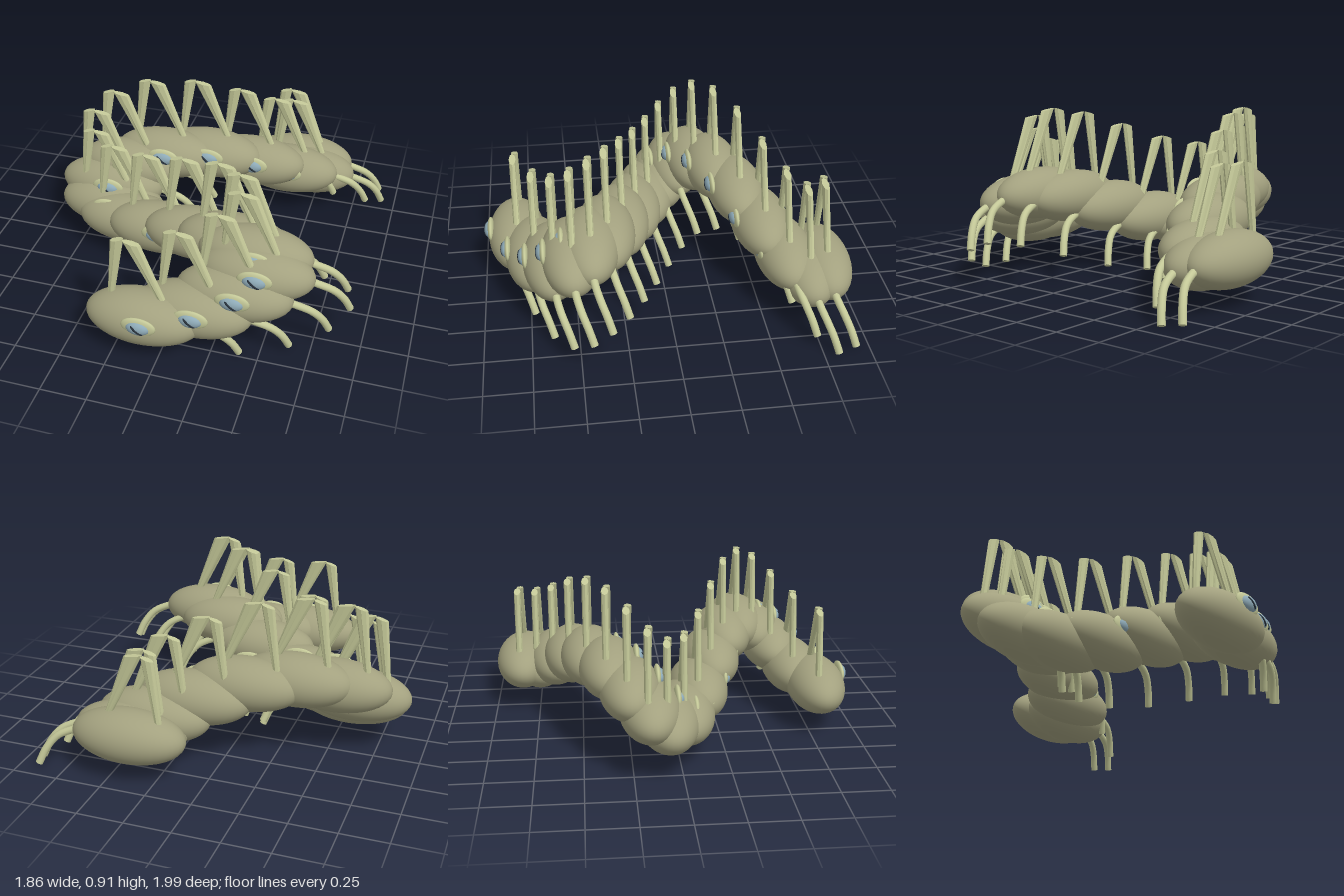
import * as THREE from 'three';

const mat = (name, color) => {
  const m = new THREE.MeshStandardMaterial({ color });
  m.name = name;
  return m;
};

export function createModel() {
  const skin = mat('olive skin', 0xa3a17f);
  const pale = mat('pale horn', 0xc4c898);
  const blue = mat('iris blue', 0x8fabb8);
  const dark = mat('pupil dark', 0x28323c);

  const ball = new THREE.SphereGeometry(1, 40, 28);
  const smallBall = new THREE.SphereGeometry(1, 20, 14);

  // Curved leg, leaving the left side and bending down and back
  const legPath = new THREE.CatmullRomCurve3([
    [0.22, 0.01, 0], [0.32, -0.02, -0.01], [0.4, -0.06, -0.03],
    [0.455, -0.13, -0.06], [0.488, -0.208, -0.085],
  ].map(p => new THREE.Vector3(...p)));
  const legGeo = new THREE.TubeGeometry(legPath, 14, 0.02, 12);
  const tipGeo = new THREE.CircleGeometry(0.02, 12);
  const tipDir = legPath.getTangent(1);

  // Flat-sided strut: narrow at the foot, wide at the slanted top
  function strut(foot, footHalf, top, topHalf, slope, z) {
    const g = new THREE.CylinderGeometry(1, 1, 1, 8, 1).toNonIndexed();
    const p = g.attributes.position;
    for (let k = 0; k < p.count; k++) {
      const t = p.getY(k) + 0.5;
      const u = p.getX(k) * THREE.MathUtils.lerp(footHalf, topHalf, t);
      p.setXYZ(k,
        THREE.MathUtils.lerp(foot[0], top[0], t) + u,
        THREE.MathUtils.lerp(foot[1], top[1], t) + u * slope * t,
        z + p.getZ(k) * 0.019);
    }
    g.computeVertexNormals();
    return g;
  }
  const struts = [
    strut([-0.18, 0.08], 0.018, [-0.13, 0.455], 0.036, 0.3, -0.018),
    strut([0.12, 0.08], 0.018, [-0.05, 0.458], 0.05, -0.15, -0.006),
  ];

  const model = new THREE.Group();
  model.name = 'segmentedCreature';

  const count = 18;
  for (let i = 0; i < count; i++) {
    const segment = new THREE.Group();
    segment.name = `segment${i + 1}`;
    // Weaving, humped path of the body
    segment.position.set(
      -0.092 + 0.525 * Math.sin(i * 0.483),
      0.33 - 0.114 * Math.cos((2 * Math.PI * (i - 0.1)) / 8.1),
      0.81 - 0.097 * i);

    const add = (name, geo, material, pos = [0, 0, 0], scale = [1, 1, 1]) => {
      const m = new THREE.Mesh(geo, material);
      m.name = name;
      m.position.set(...pos);
      m.scale.set(...scale);
      segment.add(m);
      return m;
    };

    add('body', ball, skin, [0, 0, 0], [0.31, 0.142, 0.16]);

    // Eye on the front face
    add('eyelid', smallBall, pale, [0.022, 0.055, 0.145], [0.093, 0.055, 0.02]);
    add('iris', smallBall, blue, [0.022, 0.053, 0.15], [0.064, 0.041, 0.032]);
    add('pupil', smallBall, dark, [0.022, 0.052, 0.17], [0.04, 0.011, 0.015])
      .rotation.z = -0.66;

    // Leg with closed tip
    add('leg', legGeo, pale);
    add('legTip', tipGeo, pale, legPath.getPoint(1).toArray())
      .quaternion.setFromUnitVectors(new THREE.Vector3(0, 0, 1), tipDir);

    // Forked back spine
    struts.forEach((g, k) => add(k ? 'leftSpine' : 'rightSpine', g, pale));

    model.add(segment);
  }
  return model;
}
